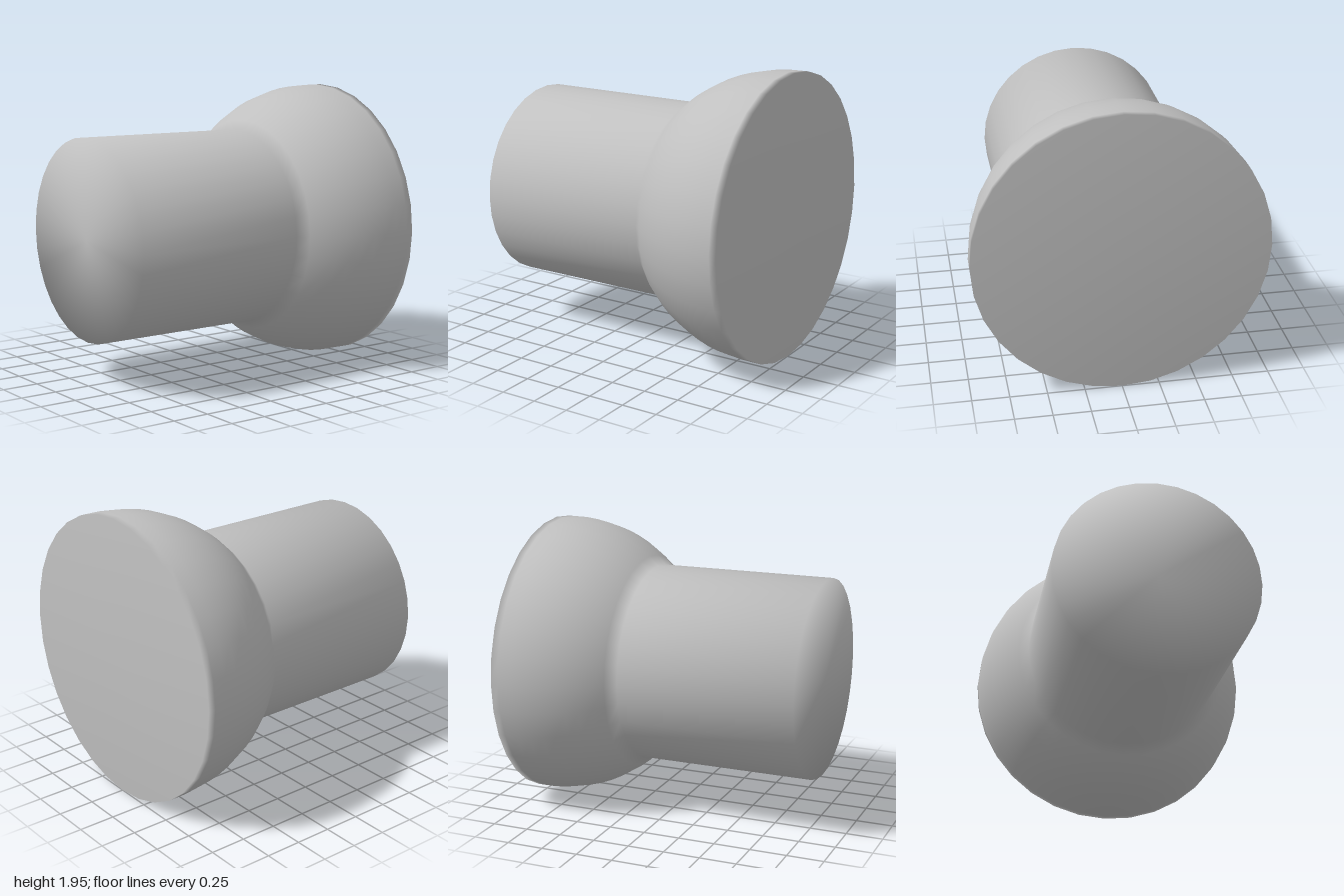
import * as THREE from 'three';
import { mergeVertices } from 'three/addons/utils/BufferGeometryUtils.js';

const SIDES = 32;
const HEAD_RADIUS = 0.975;
const STEM_RADIUS = 0.68;

// Turned solid along z; shared vertices keep every edge softly shaded.
function turnedSolid(profile) {
  const lathe = new THREE.LatheGeometry(profile, SIDES);
  lathe.deleteAttribute('normal');
  lathe.deleteAttribute('uv');
  const geometry = mergeVertices(lathe, 1e-4);
  geometry.rotateX(Math.PI / 2);
  geometry.computeVertexNormals();
  return geometry;
}

export function createModel() {
  const group = new THREE.Group();
  group.name = 'knob';

  const gray = new THREE.MeshStandardMaterial({ color: 0xc0c0c0 });
  gray.name = 'gray';

  // Flat back and its narrow straight rim
  const profile = [new THREE.Vector2(0, -1), new THREE.Vector2(HEAD_RADIUS, -1)];

  // Rounded head, narrowing to the neck
  const centre = -0.92;
  const neckAngle = Math.acos(STEM_RADIUS / HEAD_RADIUS);
  const startAngle = -0.03;
  const rings = 9;
  for (let i = 0; i <= rings; i++) {
    const a = startAngle + (neckAngle - startAngle) * (i / rings);
    profile.push(new THREE.Vector2(HEAD_RADIUS * Math.cos(a), centre + HEAD_RADIUS * Math.sin(a)));
  }

  // Straight stem with a flat front end
  profile.push(new THREE.Vector2(STEM_RADIUS, 1), new THREE.Vector2(0, 1));

  const body = new THREE.Mesh(turnedSolid(profile), gray);
  body.name = 'headAndStem';
  body.position.y = HEAD_RADIUS;
  group.add(body);

  return group;
}
